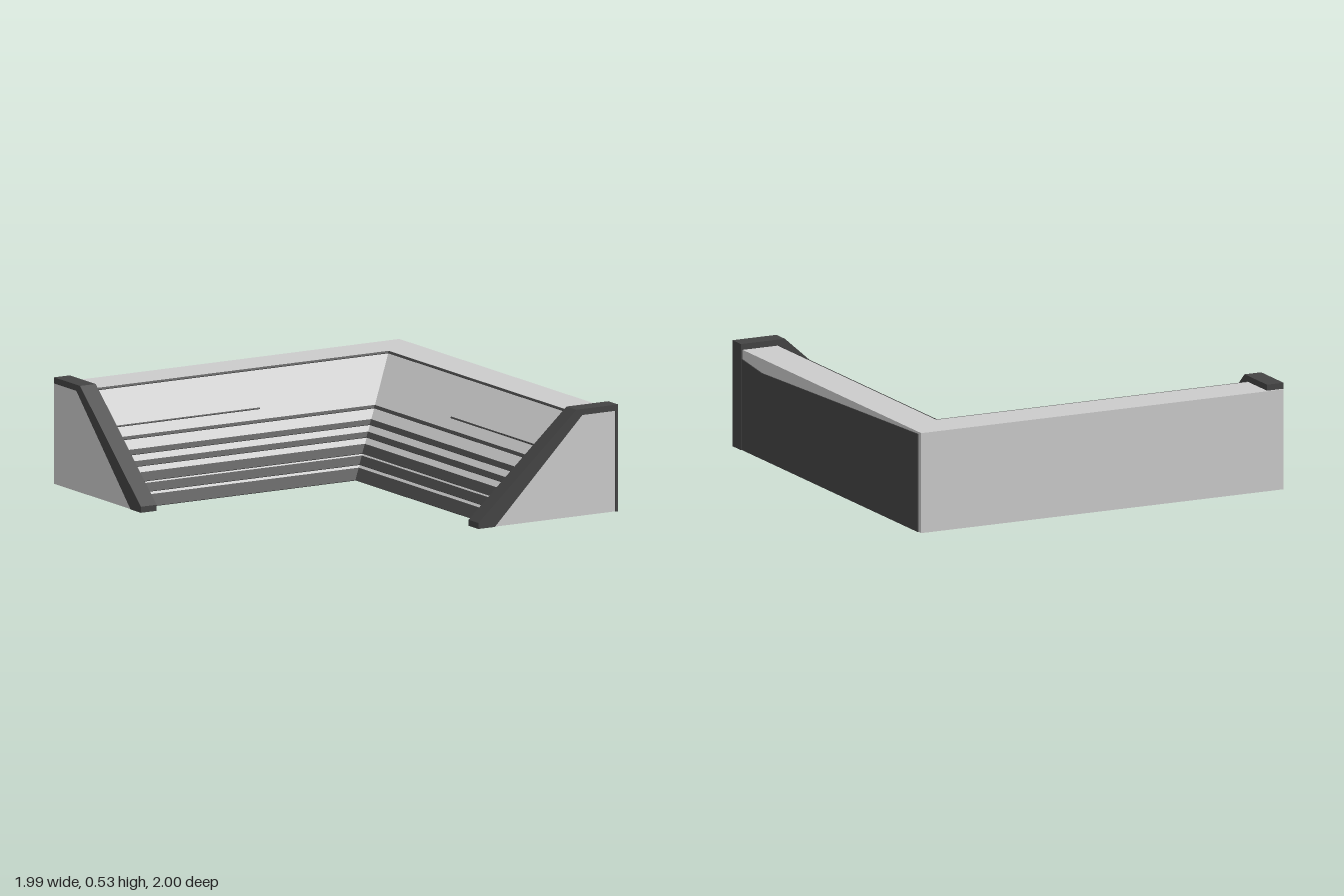
import * as THREE from 'three';

const grey = new THREE.MeshStandardMaterial({ color: 0xcccccc, flatShading: true });
const dark = new THREE.MeshStandardMaterial({ color: 0x444444, flatShading: true });

const extrude = (points, depth) => new THREE.ExtrudeGeometry(
  new THREE.Shape(points.map(([x, y]) => new THREE.Vector2(x, y))),
  { depth, bevelEnabled: false });

// Sideways position of a profile point on the back arm
const backZ = (p) => (p > 0.9 ? -1 : -p);

// One arm of the corner unit: a profile run from its free end to the mitre,
// or from "stop" if the part ends short of the mitre
function arm(name, points, material, isBack, end, stop) {
  const geometry = extrude(points, 1);
  const pos = geometry.attributes.position;
  for (let i = 0; i < pos.count; i++) {
    const p = pos.getX(i), y = pos.getY(i), far = pos.getZ(i) > 0.5;
    if (isBack) pos.setXYZ(i, far ? (stop === undefined ? p : -stop) : -end, y, backZ(p));
    else pos.setXYZ(i, p, y, far ? end : (stop === undefined ? backZ(p) : stop));
  }
  geometry.computeVertexNormals();
  const mesh = new THREE.Mesh(geometry, material);
  mesh.name = name + (isBack ? 'Back' : 'Side');
  return mesh;
}

export function createModel() {
  const group = new THREE.Group();

  // Ramp body with a 45 degree inner slope
  const body = [[0.29, 0], [0.98, 0], [0.98, 0.5], [0.79, 0.5]];

  // Dark strips on the slope: lower height, upper height, optional inner stop
  const strips = [
    [0, 0.048], [0.06, 0.095], [0.103, 0.14], [0.165, 0.187], [0.214, 0.235],
    [0.278, 0.29], [0.333, 0.338, 0.05], [0.49, 0.498],
  ];

  for (const isBack of [false, true]) {
    group.add(arm('body', body, grey, isBack, 0.995));
    strips.forEach(([y0, y1, stop], i) => {
      const lift = 0.003;
      const profile = [
        [0.29 + y0, y0], [0.29 + y1, y1],
        [0.29 + y1 - lift, y1 + lift], [0.29 + y0 - lift, y0 + lift],
      ];
      group.add(arm('slopeStrip' + (i + 1), profile, dark, isBack, 0.95, stop));
    });
  }

  // End trims that follow the slope and the top
  const trimTop = [[0.285, 0], [0.19, 0], [0.19, 0.03], [0.75, 0.53]];
  const sideTrim = new THREE.Mesh(extrude([...trimTop, [0.99, 0.53], [0.99, 0],
    [0.975, 0], [0.975, 0.5], [0.785, 0.5]], 0.09), dark);
  sideTrim.position.z = 0.91;
  sideTrim.name = 'sideEndTrim';
  const backTrim = new THREE.Mesh(extrude([...trimTop, [0.99, 0.53], [0.99, 0.5],
    [0.785, 0.5]], 0.09), dark);
  backTrim.rotation.y = Math.PI / 2;
  backTrim.position.x = -1;
  backTrim.name = 'backEndTrim';
  group.add(sideTrim, backTrim);

  // Thin dark panel on the outer side wall
  const panel = new THREE.Mesh(extrude([[-0.99, 0], [0.97, 0], [0.97, 0.49],
    [-0.7, 0.43], [-0.92, 0.455], [-0.99, 0.46]], 0.005), dark);
  panel.rotation.y = Math.PI / 2;
  panel.position.x = 0.98;
  panel.name = 'sidePanel';
  group.add(panel);

  return group;
}
